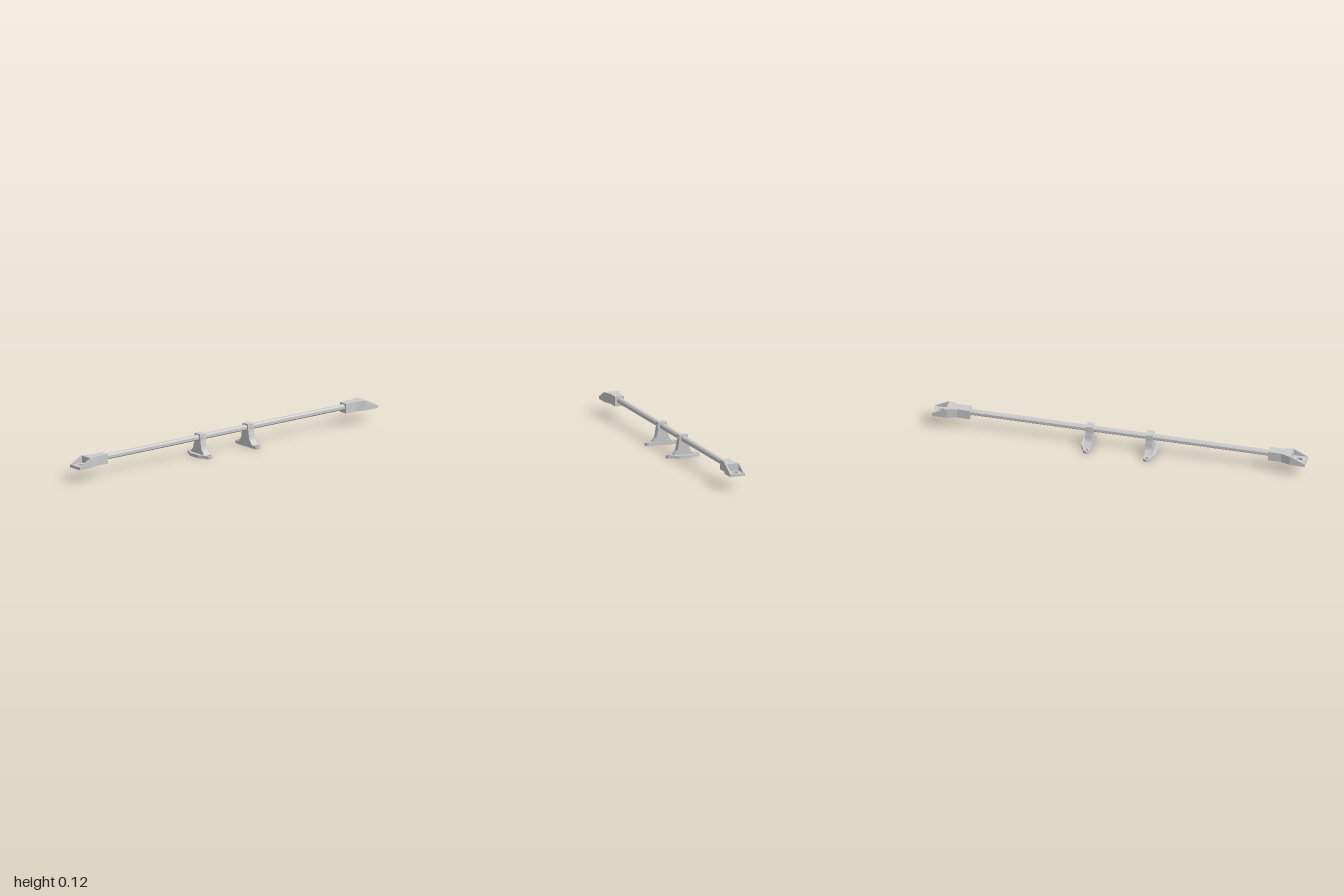
import * as THREE from 'three';

const material = new THREE.MeshStandardMaterial({ color: 0xcccccc, flatShading: true });

function part(name, geometry) {
  const mesh = new THREE.Mesh(geometry, material);
  mesh.name = name;
  return mesh;
}

function outline(points) {
  return new THREE.Shape(points.map(([a, b]) => new THREE.Vector2(a, b)));
}

function drill(shape, x, y, r) {
  const hole = new THREE.Path();
  hole.absarc(x, y, r, 0, Math.PI * 2, true);
  shape.holes.push(hole);
}

const extrude = (shape, depth) =>
  new THREE.ExtrudeGeometry(shape, { depth, bevelEnabled: false, curveSegments: 12 });

// Plan outline (x, z) raised from y0 to y1
const raise = (shape, y0, y1) => extrude(shape, y1 - y0).rotateX(-Math.PI / 2).translate(0, y0, 0);

// Side profile (z, y) extruded along x, centred on cx
const sweepX = (shape, width, cx) =>
  extrude(shape, width).translate(0, 0, -width / 2).rotateY(-Math.PI / 2).translate(cx, 0, 0);

// End fitting on the +x side
function endFitting() {
  const group = new THREE.Group();
  const body = outline([
    [0.8, -0.025], [0.87, -0.025], [0.92, -0.041], [0.926, -0.041],
    [0.926, 0.041], [0.92, 0.041], [0.87, 0.025], [0.8, 0.025],
  ]);
  group.add(part('fittingSocket', raise(body, 0.07, 0.122)));

  // Recessed floor with the fixing hole
  const floor = outline([[0.926, -0.041], [1, -0.041], [1, 0.041], [0.926, 0.041]]);
  drill(floor, 0.96, 0, 0.018);
  group.add(part('fittingFloor', raise(floor, 0.07, 0.085)));

  // Sloping cheeks either side of the recess
  const cheek = outline([[0.926, 0.085], [1, 0.085], [0.926, 0.122]]);
  for (const z of [-0.041, 0.033]) {
    group.add(part('fittingCheek', extrude(cheek, 0.008).translate(0, 0, z)));
  }
  return group;
}

// Support bracket on the +x side
function bracket() {
  const group = new THREE.Group();
  const cx = 0.161;

  // Foot with rounded ends and a wider outer flank
  const foot = new THREE.Shape();
  foot.moveTo(cx - 0.019, -0.075);
  foot.absarc(cx, -0.074, 0.019, Math.PI, Math.PI * 2, false);
  foot.lineTo(0.202, -0.032);
  foot.lineTo(0.202, 0.032);
  foot.lineTo(cx + 0.019, 0.074);
  foot.absarc(cx, 0.074, 0.019, 0, Math.PI, false);
  foot.closePath();
  for (const z of [-0.077, 0.077]) drill(foot, cx, z, 0.009);
  group.add(part('bracketFoot', raise(foot, 0, 0.016)));

  // Flared stem
  const stem = new THREE.Shape();
  stem.moveTo(-0.057, 0.015);
  stem.lineTo(0.057, 0.015);
  stem.lineTo(0.037, 0.038);
  stem.quadraticCurveTo(0.031, 0.048, 0.029, 0.068);
  stem.lineTo(0.025, 0.09);
  stem.lineTo(-0.025, 0.09);
  stem.lineTo(-0.029, 0.068);
  stem.quadraticCurveTo(-0.031, 0.048, -0.037, 0.038);
  stem.closePath();
  group.add(part('bracketStem', sweepX(stem, 0.037, cx)));

  // Collar around the bar
  const collar = outline([[-0.025, 0.09], [0.025, 0.09], [0.024, 0.122], [-0.024, 0.122]]);
  group.add(part('bracketCollar', sweepX(collar, 0.037, cx)));

  // Set screw through the collar
  const screw = new THREE.CylinderGeometry(0.006, 0.006, 0.052, 12);
  group.add(part('setScrew', screw.rotateX(Math.PI / 2).translate(cx, 0.102, 0)));
  return group;
}

export function createModel() {
  const model = new THREE.Group();
  model.name = 'mountedBar';

  // Long bar with chamfered edges
  const bar = outline([
    [-0.015, 0.094], [-0.009, 0.088], [0.009, 0.088], [0.015, 0.094],
    [0.015, 0.108], [0.008, 0.115], [-0.008, 0.115], [-0.015, 0.108],
  ]);
  model.add(part('bar', sweepX(bar, 1.64, 0)));

  // Matching fittings and brackets on both sides
  ['left', 'right'].forEach((side, i) => {
    const half = new THREE.Group();
    half.name = side + 'Half';
    const fitting = endFitting();
    fitting.name = side + 'EndFitting';
    const support = bracket();
    support.name = side + 'Bracket';
    half.add(fitting, support);
    half.rotation.y = i * Math.PI;
    model.add(half);
  });
  return model;
}
